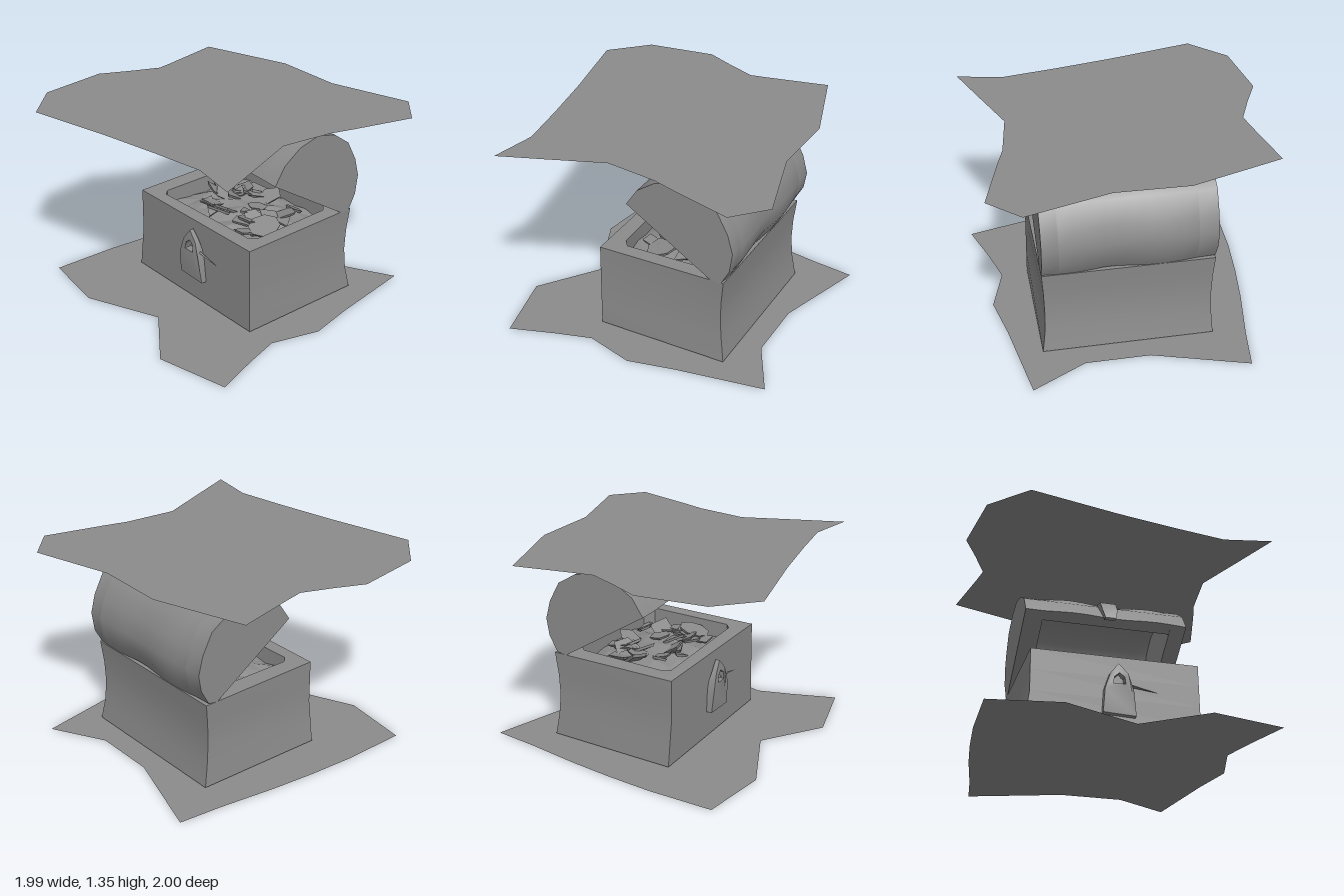
import * as THREE from 'three';
import { toCreasedNormals } from 'three/addons/utils/BufferGeometryUtils.js';

const color = 0x8c8c8c;
const grey = new THREE.MeshStandardMaterial({ color });
const greyThin = new THREE.MeshStandardMaterial({ color, side: THREE.DoubleSide });
const greyFlat = new THREE.MeshStandardMaterial({ color, flatShading: true, side: THREE.DoubleSide });

const outline = (pts) => new THREE.Shape(pts.map(([a, b]) => new THREE.Vector2(a, b)));

function add(parent, name, geometry, material = grey) {
  const mesh = new THREE.Mesh(geometry, material);
  mesh.name = name;
  parent.add(mesh);
  return mesh;
}

// Move every vertex by a rule, then rebuild normals with sharp creases
function reshape(geometry, rule, crease = 0.7) {
  const p = geometry.attributes.position;
  const v = new THREE.Vector3();
  for (let i = 0; i < p.count; i++) {
    rule(v.fromBufferAttribute(p, i));
    p.setXYZ(i, v.x, v.y, v.z);
  }
  geometry.computeVertexNormals();
  return toCreasedNormals(geometry, crease);
}

// Extrude a (z, y) profile along x
function extrudeX(pts, x0, x1, steps = 1) {
  const geometry = new THREE.ExtrudeGeometry(outline(pts.map(([z, y]) => [-z, y])), {
    depth: x1 - x0, steps, bevelEnabled: false,
  });
  return geometry.rotateY(Math.PI / 2).translate(x0, 0, 0);
}

// Flat ragged sheet from (x, z) corners
function sheet(pts, y) {
  const geometry = new THREE.ShapeGeometry(outline(pts.map(([x, z]) => [x, -z])));
  return geometry.rotateX(-Math.PI / 2).translate(0, y, 0);
}

function seeded(seed) {
  return () => {
    seed = (seed * 16807) % 2147483647;
    return seed / 2147483647;
  };
}

export function createModel() {
  const model = new THREE.Group();
  model.name = 'openTreasureChest';

  // Ragged sheets below and above the chest
  add(model, 'groundSheet', sheet([
    [0.73, -1], [0.83, -0.4], [0.9, -0.08], [0.805, 0.25], [0.875, 0.49], [0.98, 0.8], [0.48, 0.92],
    [0.08, 0.63], [-0.43, 0.85], [-0.91, 0.78], [-0.9, 0.32], [-0.87, 0], [-0.83, -0.3],
    [-0.76, -0.7], [-0.72, -1], [-0.08, -0.8], [0.36, -0.8],
  ], 0.02), greyThin);
  add(model, 'upperSheet', sheet([
    [-0.93, -0.65], [-0.31, -0.85], [0.18, -0.84], [0.74, -1], [0.945, -0.81], [0.83, -0.4],
    [0.78, -0.24], [0.73, 0.12], [0.875, 0.49], [0.99, 0.79], [0.67, 0.73], [0.3, 0.79],
    [-0.1, 0.865], [-0.7, 1], [-0.94, 0.76], [-1, 0.29], [-0.905, 0.09], [-0.82, -0.11], [-0.84, -0.22],
  ], 1.373), greyThin);

  // Chest walls: a hollow frame with worn corners, a pinched back and a splayed foot
  const frame = outline([[-0.54, -0.28], [0.61, -0.28], [0.61, 0.63], [-0.54, 0.63]]);
  frame.holes.push(outline([
    [-0.42, -0.15], [-0.41, 0.48], [-0.36, 0.53], [0.45, 0.53], [0.51, 0.47], [0.51, -0.13], [0.46, -0.17], [-0.38, -0.19],
  ]));
  const walls = new THREE.ExtrudeGeometry(frame, { depth: 0.605, steps: 4, bevelEnabled: false });
  walls.rotateX(-Math.PI / 2).translate(0, 0.028, 0);
  add(model, 'chestWalls', reshape(walls, (v) => {
    const t = (v.y - 0.028) / 0.605;
    const pinch = Math.sin(Math.PI * t) * 0.03;
    if (v.z < -0.6) {
      v.z += pinch - 0.015 * (1 - t);
      v.x -= Math.sign(v.x) * pinch * 0.5;
    }
    if (v.x < -0.52 && v.z > 0.2) v.x -= 0.04 * Math.max(0, 1 - 2 * t);
    if (v.x > 0.6) v.x += 0.01 * (1 - t);
    if (t > 0.9 && v.z < -0.4) v.y += 0.01;
  }));

  // Treasure heap: an uneven mound under loose angular pieces
  const mound = new THREE.PlaneGeometry(0.95, 0.74, 8, 6).rotateX(-Math.PI / 2);
  add(model, 'treasureMound', reshape(mound, (v) => {
    const edge = (1 - (v.x / 0.48) ** 2) * (1 - (v.z / 0.38) ** 2);
    v.y = 0.52 + 0.07 * edge + 0.015 * Math.sin(v.x * 31 + v.z * 17);
    v.x += 0.045;
    v.z -= 0.18;
  }), greyFlat);

  const rand = seeded(4321);
  const treasure = new THREE.Group();
  treasure.name = 'treasure';
  model.add(treasure);
  for (let i = 0; i < 30; i++) {
    const radius = 0.06 + 0.055 * rand();
    const shard = add(treasure, 'coinShard', new THREE.CylinderGeometry(radius, radius * 0.8, 0.018, 3 + (i % 3)), greyFlat);
    const x = (rand() - 0.5) * 0.7;
    const z = (rand() - 0.5) * 0.5;
    const middle = 1 - (x / 0.48) ** 2 - (z / 0.37) ** 2;
    shard.position.set(x + 0.045, 0.56 + 0.05 * Math.max(0, middle), z - 0.18);
    shard.rotation.set((rand() - 0.5) * 0.9, rand() * 6.28, (rand() - 0.5) * 0.9);
    shard.scale.x = 0.7 + 0.5 * rand();
  }
  const coin = add(treasure, 'largeCoin', new THREE.CylinderGeometry(0.11, 0.1, 0.02, 8), greyFlat);
  coin.position.set(0.37, 0.6, -0.06);
  coin.rotation.set(0.25, 0, -0.1);

  // Open lid: hollow vault between two solid D-shaped ends
  const lid = new THREE.Group();
  lid.name = 'lid';
  model.add(lid);
  const arc = [
    [0.07, 1.04], [-0.01, 1.15], [-0.14, 1.245], [-0.3, 1.285], [-0.45, 1.25], [-0.58, 1.15],
    [-0.665, 1.01], [-0.7, 0.88], [-0.68, 0.75], [-0.62, 0.64], [-0.54, 0.64],
  ];
  const inner = arc.map(([z, y]) => [-0.35 + (z + 0.35) * 0.83, 0.767 + (y - 0.767) * 0.83]).reverse();
  // Worn, wavy crown and rear edge
  const wear = (v) => {
    const wave = 0.5 - 0.5 * Math.cos((v.x + 0.18) * 11);
    if (v.y > 1.2) v.y -= 0.022 * wave * (v.x > 0.5 ? 0.3 : 1);
    if (v.z < -0.6) v.z += 0.012 * wave;
    if (v.z < -0.6 && v.y < 0.8) v.y += 0.012 * Math.sin(v.x * 9);
    if (v.z > 0.05) v.y -= 0.012 * wave;
  };
  add(lid, 'lidVault', reshape(extrudeX([...arc, ...inner], -0.41, 0.5, 9), wear));
  add(lid, 'lidEndRight', reshape(extrudeX(arc, -0.54, -0.41), wear));
  add(lid, 'lidEndLeft', reshape(extrudeX(arc, 0.5, 0.61), wear));

  // Hooked clasp growing out of the lid's front lip, narrowing to its tip
  const clasp = extrudeX([
    [0.02, 1.06], [0.07, 1.045], [0.095, 1], [0.135, 1], [0.105, 1.08], [0.05, 1.155], [-0.02, 1.175], [-0.08, 1.13],
  ], -0.01, 0.1);
  add(lid, 'clasp', reshape(clasp, (v) => {
    const narrow = v.y < 1.06 ? 0.7 : 1;
    v.x = 0.045 + (v.x - 0.045) * narrow;
  }, 1));

  // Lock plate with pointed shackle, bowed outward in the middle
  const plate = outline([
    [-0.06, 0.215], [0.165, 0.205], [0.145, 0.38], [0.11, 0.5], [0.045, 0.57], [-0.015, 0.49], [-0.05, 0.38],
  ]);
  plate.holes.push(outline([[0.005, 0.42], [0.015, 0.47], [0.05, 0.5], [0.085, 0.47], [0.09, 0.42]]));
  const lock = new THREE.ExtrudeGeometry(plate, { depth: 0.05, bevelEnabled: false }).translate(0, 0, 0.27);
  add(model, 'lock', reshape(lock, (v) => {
    if (v.z > 0.3) v.z += 0.015 * Math.sin(Math.PI * (v.y - 0.2) / 0.37) - 0.02 * Math.abs(v.x - 0.05);
    else if (v.y > 0.48) v.z = 0.29;
  }));

  // Thin spike jutting sideways from the lock
  const spike = add(model, 'lockSpike', new THREE.ConeGeometry(0.013, 0.24, 4), greyFlat);
  spike.position.set(0.2, 0.412, 0.3);
  spike.rotation.z = -Math.PI / 2 - 0.17;

  return model;
}
